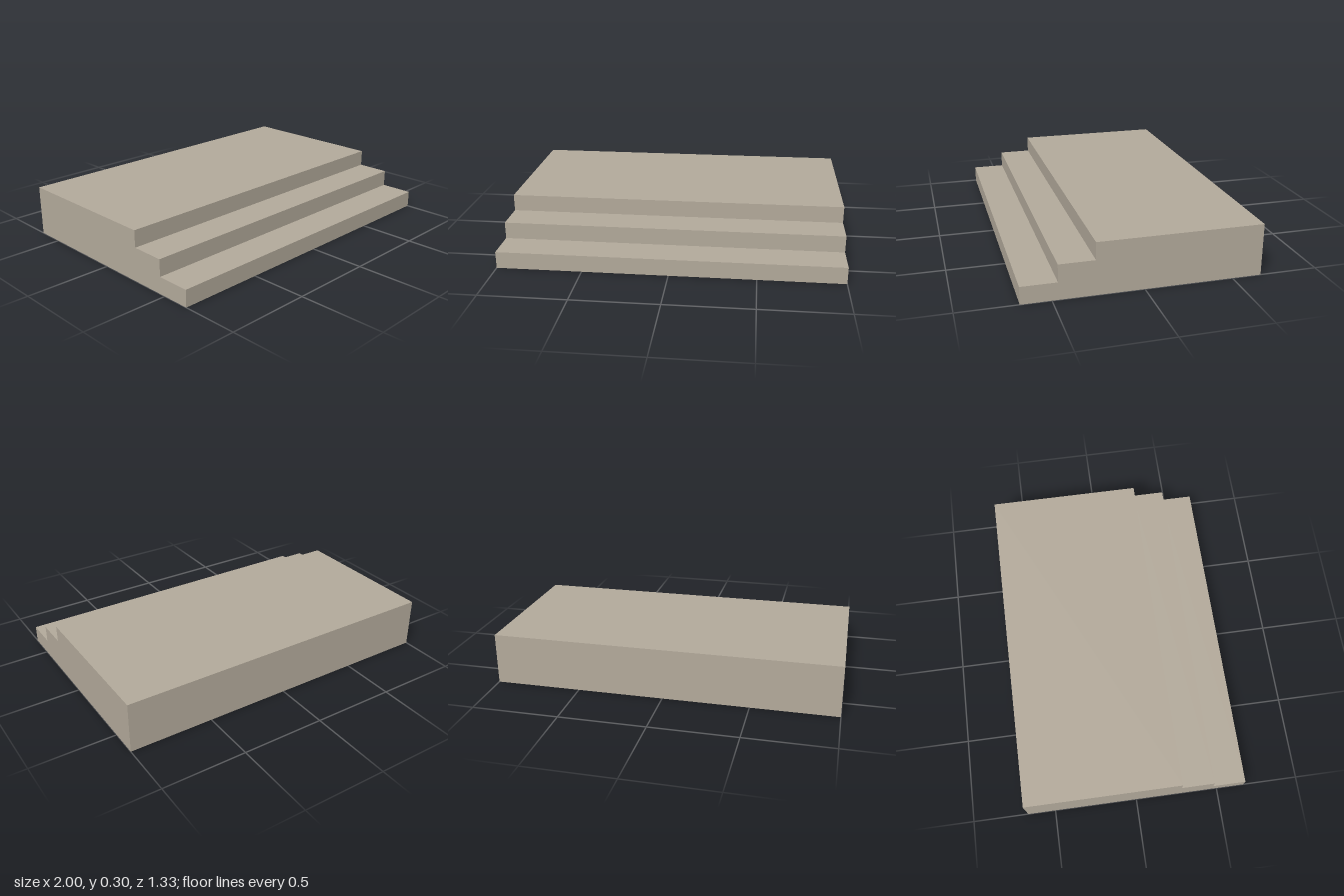
import * as THREE from 'three';

export function createModel() {
  const group = new THREE.Group();
  group.name = 'steppedPlatform';

  const stone = new THREE.MeshStandardMaterial({ color: 0xb3aa9b });
  stone.name = 'stone';

  const width = 2, front = 0.667, back = -0.667;
  const steps = 3, rise = 0.1, tread = 0.2;

  // Side profile: flat base, stairs climbing from the front, landing to the back
  const profile = new THREE.Shape();
  profile.moveTo(back, 0);
  profile.lineTo(front, 0);
  for (let i = 0; i < steps; i++) {
    const z = front - i * tread;
    const y = (i + 1) * rise;
    profile.lineTo(z, y);
    profile.lineTo(i < steps - 1 ? z - tread : back, y);
  }
  profile.closePath();

  // Sweep the profile across the width, turning its x axis to world z
  const geometry = new THREE.ExtrudeGeometry(profile, { depth: width, bevelEnabled: false });
  geometry.rotateY(-Math.PI / 2);
  geometry.translate(width / 2, 0, 0);

  const stairs = new THREE.Mesh(geometry, stone);
  stairs.name = 'stairsAndLanding';
  group.add(stairs);
  return group;
}
